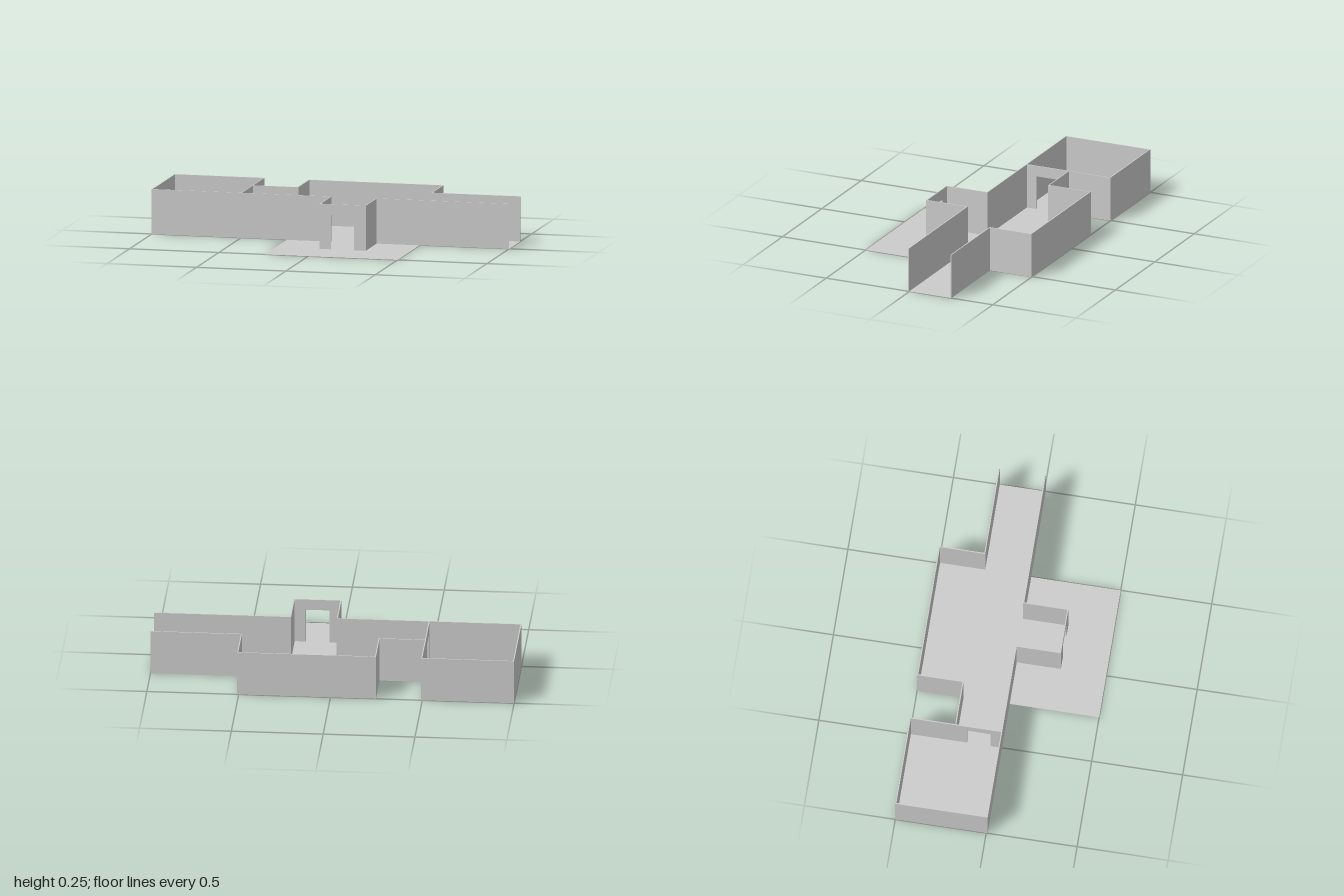
import * as THREE from 'three';

const H = 0.248;   // wall height
const T = 0.006;   // wall thickness
const DOOR_W = 0.13, DOOR_H = 0.188;

export function createModel() {
  const group = new THREE.Group();
  const wallMat = new THREE.MeshStandardMaterial({ color: 0xcccccc, flatShading: true });
  const floorMat = new THREE.MeshStandardMaterial({ color: 0xcccccc, side: THREE.DoubleSide });

  const add = (name, geo, mat) => {
    const mesh = new THREE.Mesh(geo, mat);
    mesh.name = name;
    group.add(mesh);
    return mesh;
  };

  // Solid wall filling a rectangle of the plan
  const wall = (name, x0, x1, z0, z1) =>
    add(name, new THREE.BoxGeometry(x1 - x0, H, z1 - z0), wallMat)
      .position.set((x0 + x1) / 2, H / 2, (z0 + z1) / 2);

  // Walls along x (from its back face) and along z (from its left face)
  const wallX = (name, x0, x1, z) => wall(name, x0, x1, z, z + T);
  const wallZ = (name, x, z0, z1) => wall(name, x, x + T, z0, z1);

  // Wall profile from a to b with a doorway open to the ground, centred on mid
  const doorWall = (name, a, b, mid) => {
    const l = mid - DOOR_W / 2, r = mid + DOOR_W / 2;
    const shape = new THREE.Shape([
      [a, 0], [l, 0], [l, DOOR_H], [r, DOOR_H], [r, 0], [b, 0], [b, H], [a, H],
    ].map(([x, y]) => new THREE.Vector2(x, y)));
    return add(name, new THREE.ExtrudeGeometry(shape, { depth: T, bevelEnabled: false }), wallMat);
  };

  // Flat floor from plan corners (x, z)
  const floor = (name, pts) => {
    const shape = new THREE.Shape(pts.map(([x, z]) => new THREE.Vector2(x, -z)));
    add(name, new THREE.ShapeGeometry(shape).rotateX(-Math.PI / 2), floorMat);
  };

  // Floors
  floor('sideRoomFloor', [[-1, 0.006], [-0.494, 0.006], [-0.494, -0.5], [-1, -0.5]]);
  floor('hallFloor', [
    [-0.494, 0.006], [-0.243, 0.006], [-0.243, 0.5], [0.5, 0.5], [0.5, 0.006], [1, 0.006],
    [1, -0.25], [0.503, -0.25], [0.503, -0.5], [-0.247, -0.5], [-0.247, -0.25], [-0.494, -0.25],
  ]);

  // Side room with a doorway into the corridor
  wallZ('sideRoomOuterWall', -1, -0.5, 0.008);
  wallX('sideRoomBackWall', -1 + T, -0.494 - T, -0.5);
  wallX('sideRoomFrontWall', -1 + T, -0.494 - T, 0.002);
  const roomDoor = doorWall('sideRoomDoorWall', -0.008, 0.5, 0.12);
  roomDoor.rotation.y = Math.PI / 2;
  roomDoor.position.x = -0.5;

  // Corridor between side room and hall
  wallX('corridorBackWall', -0.494, -0.248, -0.251);
  wallX('corridorFrontWall', -0.493, 0.006, 0.002);

  // Hall alcove
  wallZ('hallSideWall', -0.248, -0.5, -0.245);
  wallX('hallBackWall', -0.248 + T, 0.502, -0.5);
  wallZ('hallSideWall', 0.502, -0.5, -0.245);

  // Open-ended wing
  wallX('wingBackWall', 0.502 + T, 1, -0.251);
  wallX('wingFrontWall', 0.254, 1, 0.002);

  // Entrance porch with its doorway
  wallZ('porchSideWall', 0, 0.008, 0.251);
  wallZ('porchSideWall', 0.254, 0.008, 0.251);
  doorWall('porchDoorWall', 0.006, 0.254, 0.129).position.z = 0.245;

  return group;
}
